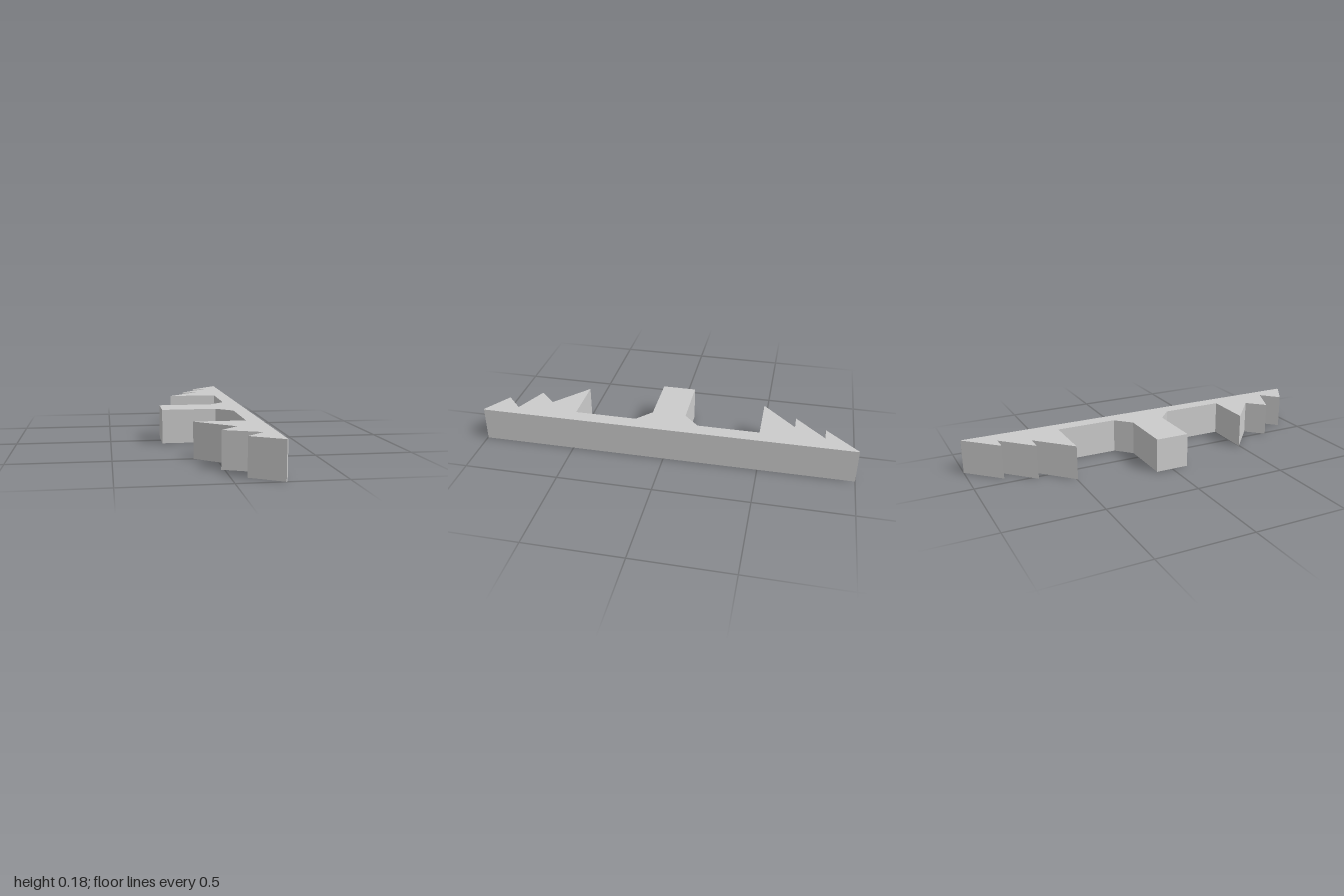
import * as THREE from 'three';

export function createModel() {
  const group = new THREE.Group();
  group.name = 'notchedBar';
  const height = 0.182;

  // Outline sections as [x, z], running from the back tip to the front tip
  const backTeeth = [
    [0.222, -1], [0.055, -0.83], [0.135, -0.83], [-0.028, -0.672],
    [0.06, -0.672], [-0.125, -0.495], [0.148, -0.495],
  ];
  const centreStem = [
    [0.148, -0.17], [0.065, -0.09], [-0.225, -0.09],
    [-0.225, 0.09], [0.065, 0.09], [0.148, 0.165],
  ];
  const frontTeeth = [
    [0.148, 0.497], [-0.11, 0.497], [0.073, 0.657], [-0.015, 0.745],
    [0.162, 0.822], [0.072, 0.907], [0.22, 1],
  ];
  const spine = [[0.225, 0.997], [0.225, -1]];

  // One solid plate, extruded upward from the ground
  const outline = [...backTeeth, ...centreStem, ...frontTeeth, ...spine];
  const shape = new THREE.Shape(outline.map(([x, z]) => new THREE.Vector2(x, -z)));
  const geometry = new THREE.ExtrudeGeometry(shape, { depth: height, bevelEnabled: false });
  geometry.rotateX(-Math.PI / 2);

  const plate = new THREE.Mesh(
    geometry,
    new THREE.MeshStandardMaterial({ color: 0xcccccc, flatShading: true })
  );
  plate.name = 'toothedPlate';
  group.add(plate);
  return group;
}
